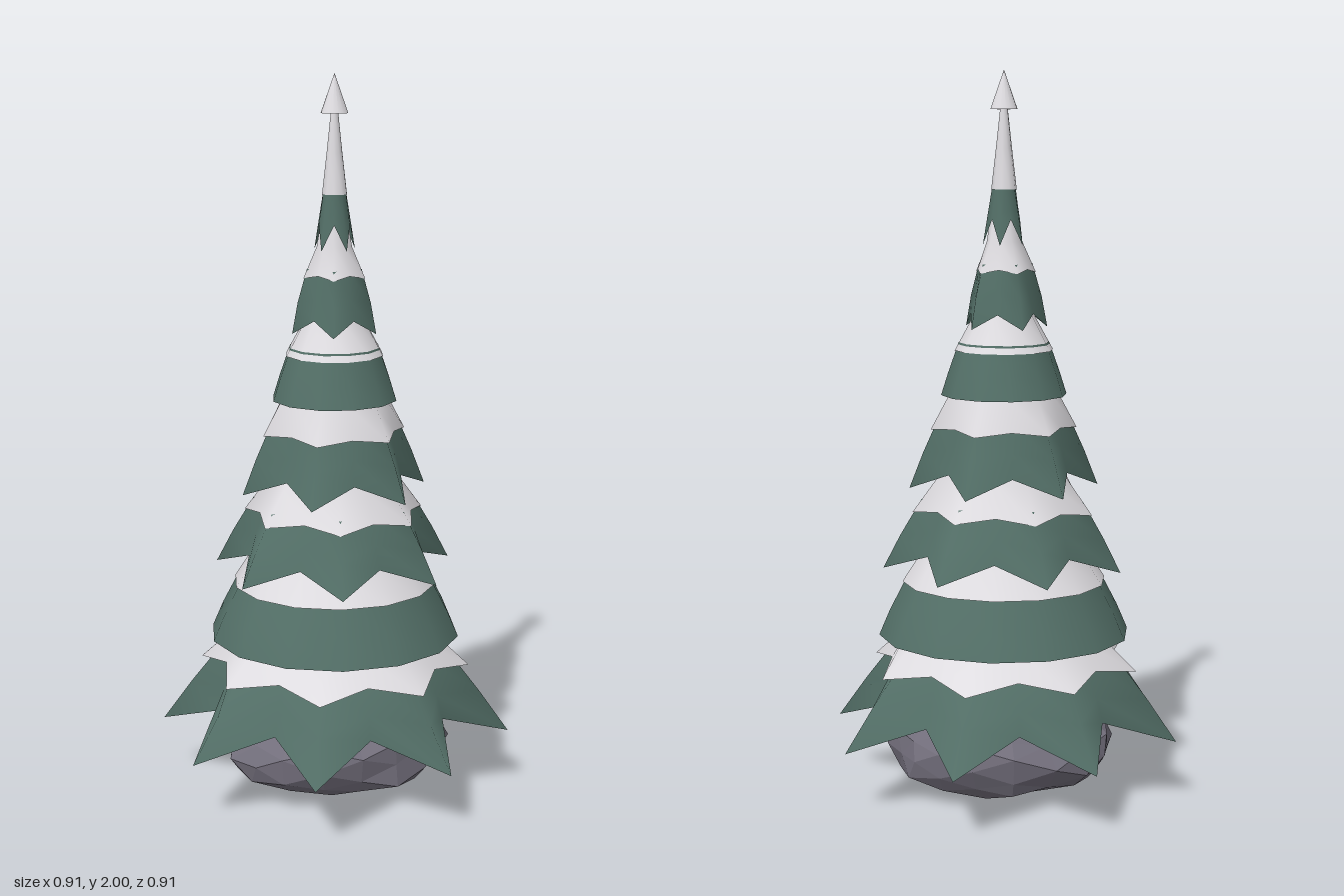
import * as THREE from 'three';

const green = new THREE.MeshStandardMaterial({ name: 'needle green', color: 0x536f67, side: THREE.DoubleSide });
const snow = new THREE.MeshStandardMaterial({ name: 'snow white', color: 0xe0dee2, side: THREE.DoubleSide });
const stone = new THREE.MeshStandardMaterial({ name: 'stone grey', color: 0x726e7b, flatShading: true });
const bark = new THREE.MeshStandardMaterial({ name: 'bark brown', color: 0x8a6f62 });

// Star-shaped skirt. Rings run from top to bottom as [tip radius, tip y, valley radius, valley y];
// a ring of two numbers is round.
function skirt(points, turn, rings) {
  const sides = points * 2, pos = [], index = [];
  rings.forEach(([rTip, yTip, rValley = rTip, yValley = yTip], i) => {
    for (let j = 0; j < sides; j++) {
      const a = turn + (j * Math.PI) / points;
      const [r, y] = j % 2 ? [rValley, yValley] : [rTip, yTip];
      pos.push(r * Math.cos(a), y, r * Math.sin(a));
      if (i === 0) continue;
      const k = (j + 1) % sides, up = (i - 1) * sides, low = i * sides;
      index.push(up + j, up + k, low + j, up + k, low + k, low + j);
    }
  });
  const g = new THREE.BufferGeometry();
  g.setAttribute('position', new THREE.Float32BufferAttribute(pos, 3));
  g.setIndex(index);
  g.computeVertexNormals();
  return g;
}

// Tiers from the ground up: a green skirt with a slightly proud snow cap.
// The lowest skirt closes in to the trunk, so its underside is green.
const tiers = [
  { points: 8, turn: Math.PI / 8,
    boughs: [[0.03, 0.5], [0.24, 0.46], [0.32, 0.4, 0.28, 0.41], [0.41, 0.285, 0.322, 0.31], [0.494, 0.168, 0.34, 0.245]],
    cap: [[0.2, 0.55], [0.27, 0.46], [0.38, 0.36, 0.315, 0.385]] },
  { points: 7, turn: 0,
    boughs: [[0.268, 0.62], [0.32, 0.52], [0.35, 0.45]],
    cap: [[0.19, 0.75], [0.232, 0.68], [0.284, 0.6]] },
  { points: 7, turn: 0,
    boughs: [[0.23, 0.83, 0.195, 0.83], [0.29, 0.73, 0.225, 0.755], [0.337, 0.64, 0.247, 0.69]],
    cap: [[0.15, 0.96], [0.185, 0.89, 0.175, 0.89], [0.255, 0.795, 0.215, 0.81]] },
  { points: 6, turn: 0,
    boughs: [[0.18, 1.06, 0.15, 1.06], [0.225, 0.96, 0.17, 0.98], [0.263, 0.863, 0.188, 0.912]],
    cap: [[0.11, 1.2], [0.152, 1.12, 0.145, 1.12], [0.203, 1.025, 0.168, 1.035]] },
  { points: 6, turn: 0,
    boughs: [[0.125, 1.265], [0.155, 1.18], [0.174, 1.12]],
    cap: [[0.055, 1.42], [0.08, 1.345], [0.136, 1.243]] },
  { points: 5, turn: Math.PI,
    boughs: [[0.078, 1.48, 0.062, 1.48], [0.104, 1.39, 0.078, 1.4], [0.12, 1.305, 0.091, 1.345]],
    cap: [[0.026, 1.68], [0.05, 1.54, 0.047, 1.54], [0.088, 1.455, 0.072, 1.465]] },
  { points: 5, turn: 0,
    boughs: [[0.03, 1.7], [0.045, 1.61, 0.039, 1.63], [0.058, 1.53, 0.044, 1.6]],
    cap: [[0.01, 1.9], [0.022, 1.79], [0.035, 1.68]] },
];

// Squashed faceted boulder with steep sides and a flattened base
function boulder() {
  const g = new THREE.IcosahedronGeometry(1, 2);
  const p = g.attributes.position, v = new THREE.Vector3();
  for (let i = 0; i < p.count; i++) {
    v.fromBufferAttribute(p, i).normalize();
    const key = Math.round(v.x * 50) * 12.9898 + Math.round(v.y * 50) * 78.233 + Math.round(v.z * 50) * 37.719;
    const n = Math.sin(key) * 43758.5453;
    const bump = 0.93 + 0.13 * (n - Math.floor(n));
    const y = 0.12 + 0.118 * Math.sign(v.y) * Math.abs(v.y) ** 0.75 * bump;
    p.setXYZ(i, 0.005 + 0.315 * v.x * bump, Math.max(0.004, y), 0.262 * v.z * bump);
  }
  g.computeVertexNormals();
  return g;
}

export function createModel() {
  const tree = new THREE.Group();
  tree.name = 'snowyTree';
  const add = (name, geometry, material, parent = tree) => {
    const mesh = new THREE.Mesh(geometry, material);
    mesh.name = name;
    parent.add(mesh);
    return mesh;
  };

  // Boulder and the flared trunk that stands through it
  add('boulder', boulder(), stone);
  const trunk = [[0, 0], [0.06, 0], [0.055, 0.04], [0.034, 0.2], [0.03, 0.49], [0, 0.49]];
  add('trunk', new THREE.LatheGeometry(trunk.map(([x, y]) => new THREE.Vector2(x, y)), 12), bark);

  // Boughs and snow
  tiers.forEach((t, i) => {
    const tier = new THREE.Group();
    tier.name = `tier${i + 1}`;
    add('boughs', skirt(t.points, t.turn, t.boughs), green, tier);
    add(i === 6 ? 'spire' : 'snowCap', skirt(t.points, t.turn, t.cap), snow, tier);
    tree.add(tier);
  });

  // Pointed finial, hollow underneath
  add('finial', new THREE.ConeGeometry(0.037, 0.105, 16, 1, true), snow).position.y = 1.9475;
  return tree;
}
